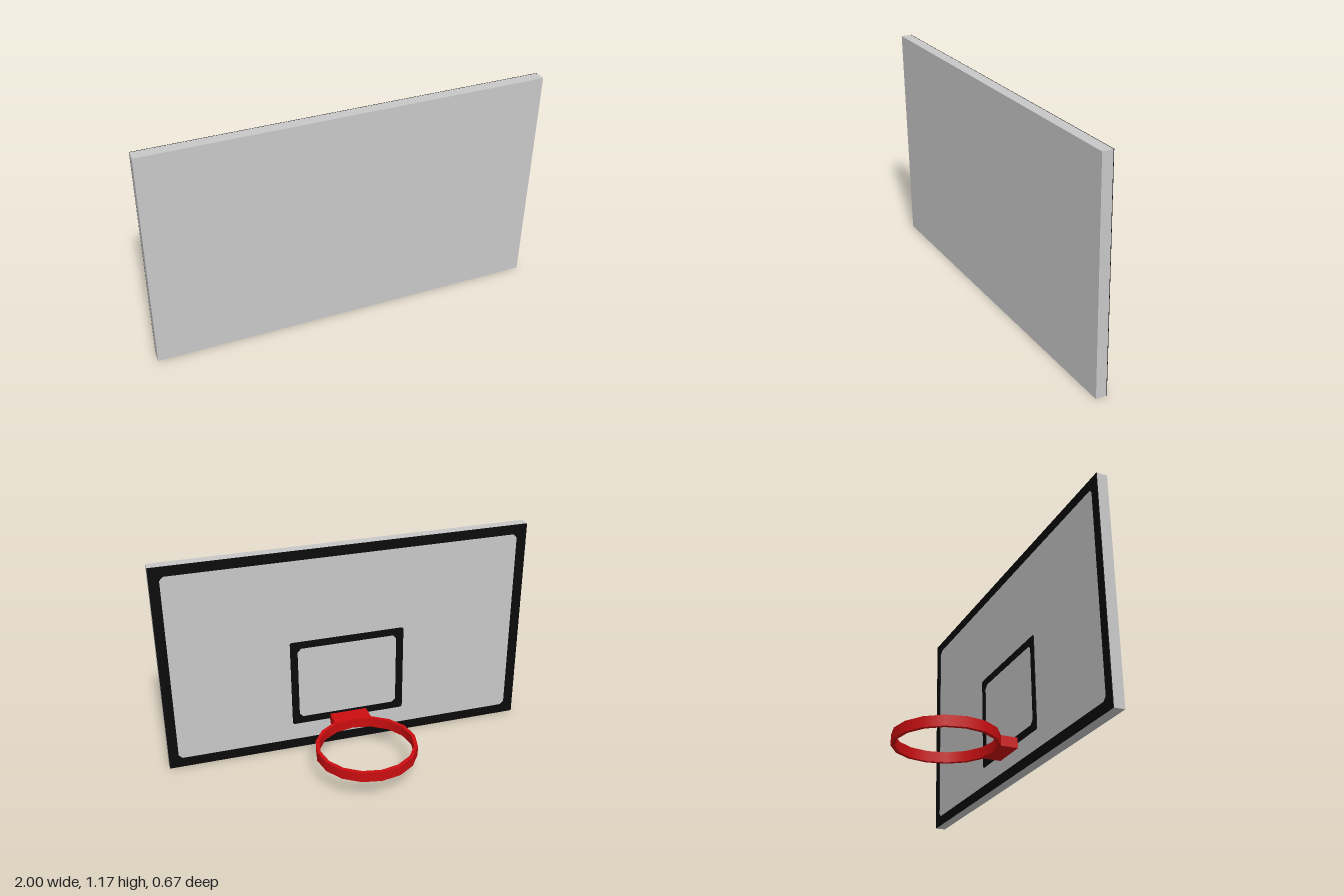
import * as THREE from 'three';
import { mergeGeometries } from 'three/addons/utils/BufferGeometryUtils.js';

const W = 2, H = 1.167;            // board size
const FACE = 0.279, BACK = 0.333;  // z of the playing face and the rear face
const R = 0.27, R_IN = 0.25, RING_Z = -0.063;
const Y0 = 0.125, Y1 = 0.18;       // bottom and top of ring and bracket
const SIDES = 16;

// Rectangle outline with cut corners
function rectPoints(w, h, cut) {
  const x = w / 2, y = h / 2;
  return [
    [x, y - cut], [x - cut, y], [cut - x, y], [-x, y - cut],
    [-x, cut - y], [cut - x, -y], [x - cut, -y], [x, cut - y],
  ].map(([a, b]) => new THREE.Vector2(a, b));
}

// Thin painted frame lying on the playing face
function frame(name, w, h, line, outerCut, y, material) {
  const outer = outerCut > 0 ? rectPoints(w, h, outerCut) : [
    [w / 2, h / 2], [-w / 2, h / 2], [-w / 2, -h / 2], [w / 2, -h / 2],
  ].map(([a, b]) => new THREE.Vector2(a, b));
  const shape = new THREE.Shape(outer);
  shape.holes.push(new THREE.Path(rectPoints(w - 2 * line, h - 2 * line, 0.02)));
  const mesh = new THREE.Mesh(
    new THREE.ExtrudeGeometry(shape, { depth: 0.003, bevelEnabled: false }), material);
  mesh.name = name;
  mesh.position.set(0, y, FACE - 0.003);
  return mesh;
}

export function createModel() {
  const model = new THREE.Group();
  model.name = 'basketballHoop';

  const grey = new THREE.MeshStandardMaterial({ color: 0xc8c8c8 });
  grey.name = 'boardGrey';
  const black = new THREE.MeshStandardMaterial({ color: 0x0a0a0a });
  black.name = 'lineBlack';
  const red = new THREE.MeshStandardMaterial({ color: 0xcc0e10 });
  red.name = 'rimRed';

  // Backboard
  const board = new THREE.Mesh(new THREE.BoxGeometry(W, H, BACK - FACE), grey);
  board.name = 'backboard';
  board.position.set(0, H / 2, (BACK + FACE) / 2);
  model.add(board);

  // Painted lines
  model.add(frame('borderLine', W, H, 0.053, 0, H / 2, black));
  model.add(frame('targetSquare', 0.63, 0.5, 0.04, 0.008, 0.402, black));

  // Rim: a square-section band, each face smooth around but sharp at its edges
  const section = [[R, Y0], [R, Y1], [R_IN, Y1], [R_IN, Y0]].map(([a, b]) => new THREE.Vector2(a, b));
  const faces = section.map((p, i) => new THREE.LatheGeometry([p, section[(i + 1) % 4]], SIDES));
  const rim = new THREE.Mesh(mergeGeometries(faces), red);
  rim.name = 'rim';
  rim.position.z = RING_Z;
  model.add(rim);

  // Bracket joining rim and board, its front following the rim
  const a = 2 * Math.PI / SIDES;
  const sideX = R * Math.sin(a), sideZ = RING_Z + R * Math.cos(a);
  const plan = new THREE.Shape([
    new THREE.Vector2(-sideX, -FACE), new THREE.Vector2(sideX, -FACE),
    new THREE.Vector2(sideX, -sideZ), new THREE.Vector2(0, -(RING_Z + R)),
    new THREE.Vector2(-sideX, -sideZ),
  ]);
  const bracket = new THREE.Mesh(
    new THREE.ExtrudeGeometry(plan, { depth: Y1 - Y0, bevelEnabled: false }), red);
  bracket.name = 'bracket';
  bracket.rotation.x = -Math.PI / 2;
  bracket.position.y = Y0;
  model.add(bracket);

  return model;
}
